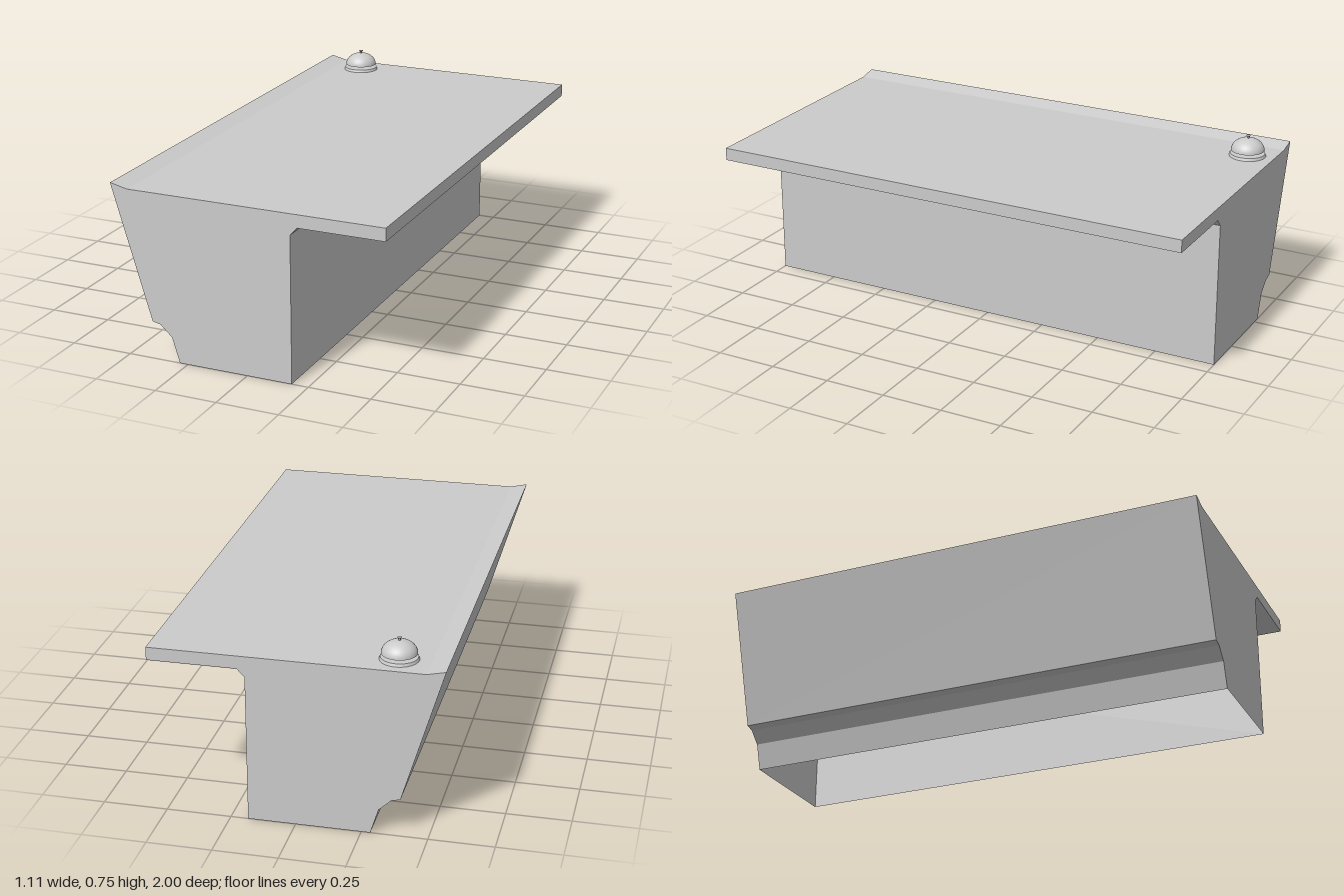
import * as THREE from 'three';

const material = new THREE.MeshStandardMaterial({ color: 0xcccccc, side: THREE.DoubleSide });
const flatMaterial = new THREE.MeshStandardMaterial({ color: 0xcccccc, side: THREE.DoubleSide, flatShading: true });

// Counter cross-section, from the toe kick round over the top to the foot of the inner wall
const profile = [
  [0.183, 0], [0.183, 0.585], [0.212, 0.616], [0.555, 0.616], [0.555, 0.667], [-0.485, 0.667],
  [-0.556, 0.683], [-0.396, 0.152], [-0.362, 0.144], [-0.315, 0.1], [-0.284, 0],
].map(([x, y]) => new THREE.Vector2(x, y));
const HALF_LENGTH = 1;

function addMesh(parent, name, geometry, mat = material) {
  const mesh = new THREE.Mesh(geometry, mat);
  mesh.name = name;
  parent.add(mesh);
  return mesh;
}

// Sweeps the open profile along z, leaving the underside open
function sweepProfile(points, half) {
  const positions = [];
  for (let i = 0; i < points.length - 1; i++) {
    const a = points[i], b = points[i + 1];
    positions.push(a.x, a.y, half, a.x, a.y, -half, b.x, b.y, -half);
    positions.push(a.x, a.y, half, b.x, b.y, -half, b.x, b.y, half);
  }
  const geometry = new THREE.BufferGeometry();
  geometry.setAttribute('position', new THREE.Float32BufferAttribute(positions, 3));
  geometry.computeVertexNormals();
  return geometry;
}

function lathe(points, segments = 32) {
  return new THREE.LatheGeometry(points.map(([r, y]) => new THREE.Vector2(r, y)), segments);
}

function createCounter() {
  const counter = new THREE.Group();
  counter.name = 'counter';
  addMesh(counter, 'counterShell', sweepProfile(profile, HALF_LENGTH), flatMaterial);

  // End panels
  const panel = new THREE.ShapeGeometry(new THREE.Shape(profile));
  addMesh(counter, 'frontPanel', panel, flatMaterial).position.z = HALF_LENGTH;
  const back = panel.clone().scale(-1, 1, 1).rotateY(Math.PI);
  const index = back.index.array;
  for (let i = 0; i < index.length; i += 3) [index[i], index[i + 1]] = [index[i + 1], index[i]];
  back.computeVertexNormals();
  addMesh(counter, 'backPanel', back, flatMaterial).position.z = -HALF_LENGTH;
  return counter;
}

function createBell() {
  const bell = new THREE.Group();
  bell.name = 'serviceBell';

  // Base plate and short post
  addMesh(bell, 'bellBase', new THREE.CylinderGeometry(0.07, 0.074, 0.011, 32)).position.y = 0.0055;
  addMesh(bell, 'bellPost', new THREE.CylinderGeometry(0.016, 0.02, 0.016, 16)).position.y = 0.018;

  // Domed shell, open underneath
  const dome = [];
  for (let i = 0; i <= 10; i++) {
    const a = (i / 10) * Math.PI / 2;
    dome.push([0.067 * Math.cos(a), 0.023 + 0.05 * Math.sin(a)]);
  }
  addMesh(bell, 'bellDome', lathe(dome));

  // Push button
  addMesh(bell, 'bellButton', lathe([[0.004, 0.071], [0.004, 0.079], [0.009, 0.083], [0.008, 0.085], [0, 0.085]], 16));
  bell.position.set(-0.365, 0.667, -0.89);
  return bell;
}

export function createModel() {
  const model = new THREE.Group();
  model.name = 'serviceCounter';
  model.add(createCounter(), createBell());
  return model;
}
